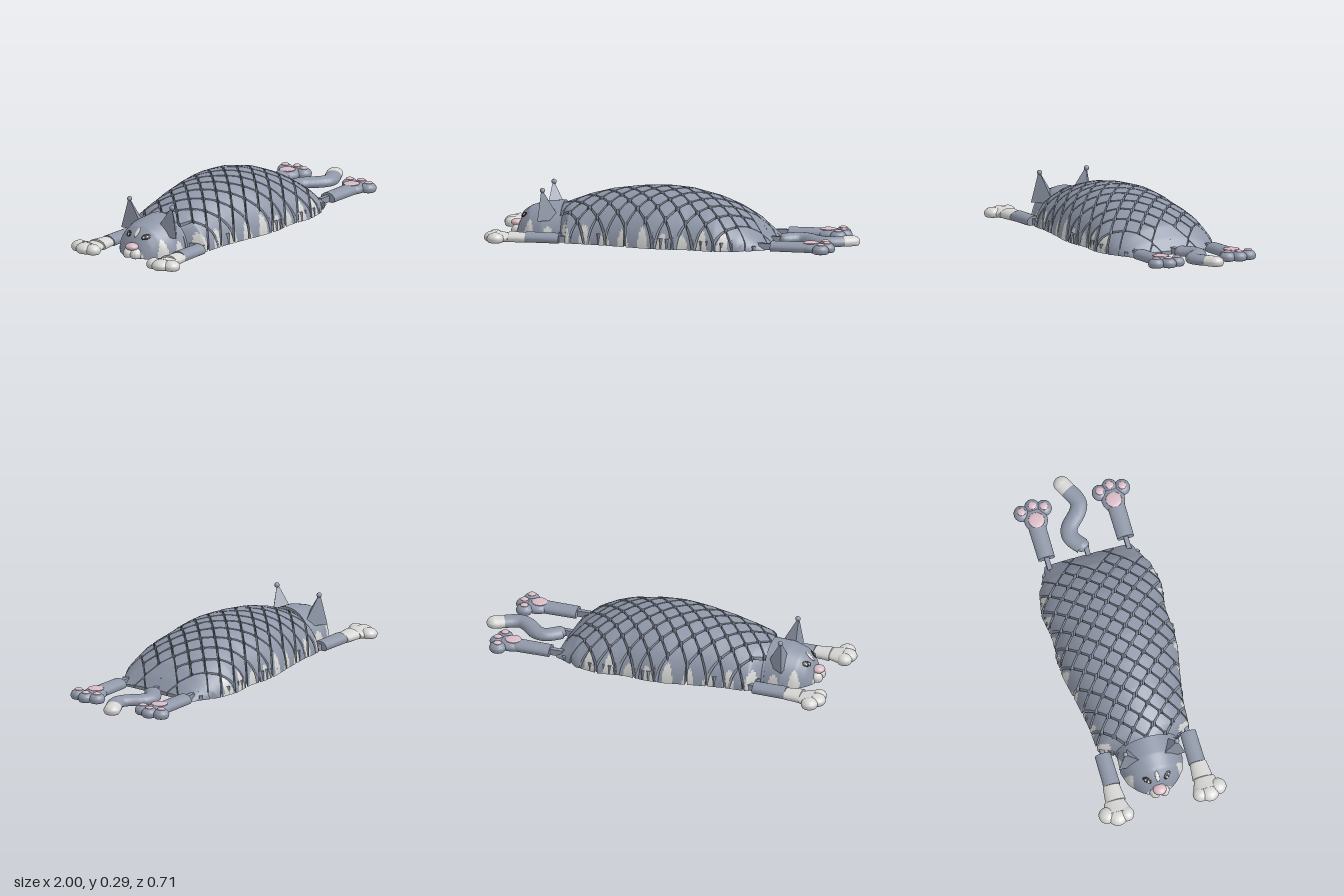
import * as THREE from 'three';
import { mergeGeometries, toCreasedNormals } from 'three/addons/utils/BufferGeometryUtils.js';

const material = (name, color) => Object.assign(new THREE.MeshStandardMaterial({ color }), { name });
const slate = material('slate fur', 0x8f97a8);
const white = material('white fur', 0xd6d6d4);
const pink = material('pink pads', 0xd8bac5);
const dark = material('dark eye', 0x2c2c30);

// Linear interpolation through [x, value] stops
function table(stops) {
  return (x) => {
    let i = 1;
    while (i < stops.length - 1 && x > stops[i][0]) i++;
    const [x0, a] = stops[i - 1], [x1, b] = stops[i];
    return a + (b - a) * THREE.MathUtils.clamp((x - x0) / (x1 - x0), 0, 1);
  };
}

const bodyShape = {
  height: table([[-0.615, 0.175], [-0.47, 0.23], [-0.35, 0.262], [-0.2, 0.283], [-0.05, 0.29], [0.08, 0.28],
    [0.22, 0.245], [0.33, 0.2], [0.43, 0.14], [0.49, 0.08], [0.535, 0.02]]),
  width: table([[-0.6, 0.17], [-0.555, 0.255], [-0.4, 0.265], [-0.25, 0.29], [-0.1, 0.32], [0, 0.325],
    [0.12, 0.315], [0.27, 0.335], [0.4, 0.31], [0.48, 0.265], [0.535, 0.24]]),
};
const headShape = {
  height: table([[-0.865, 0.03], [-0.85, 0.08], [-0.83, 0.12], [-0.79, 0.157], [-0.71, 0.182], [-0.61, 0.19]]),
  width: table([[-0.865, 0.06], [-0.85, 0.085], [-0.83, 0.11], [-0.78, 0.152], [-0.71, 0.172], [-0.61, 0.165]]),
};
const domeHeight = (s, x, z) => s.height(x) * Math.sqrt(Math.max(0, 1 - (z / s.width(x)) ** 2));

// Upper edge of the white streaks running up from the ground
const streak = (x) => (x > 0.36 ? 0 : (0.09 + 0.02 * Math.sin(40 * x))
  * Math.sqrt(Math.max(0, 0.15 + 0.85 * Math.cos((x + 0.12) * 2 * Math.PI / 0.11))));

function addTriangle(list, a, b, c) {
  const n = b.clone().sub(a).cross(c.clone().sub(a));
  if (n.length() > 1e-9) for (const p of [a, b, c]) list.push(p.x, p.y, p.z);
}
function addQuad(list, a, b, c, d) {
  addTriangle(list, a, b, c);
  addTriangle(list, a, c, d);
}

// Solid piece of a dome: z runs from lo(x) to hi(x) at each x, clipped to the outline
function addPiece(out, shape, xs, lo, hi, steps) {
  const rows = xs.map((x) => {
    const w = shape.width(x);
    const a = Math.asin(THREE.MathUtils.clamp(lo(x) / w, -1, 1));
    const b = Math.asin(THREE.MathUtils.clamp(hi(x) / w, -1, 1));
    return Array.from({ length: steps + 1 }, (_, k) => {
      const t = a + (b - a) * k / steps;
      return new THREE.Vector3(x, shape.height(x) * Math.max(0, Math.cos(t)), w * Math.sin(t));
    });
  });
  const floor = (p) => new THREE.Vector3(p.x, 0, p.z);
  const wall = (p, q) => addQuad(out.slate, floor(p), floor(q), q, p);
  const last = rows.length - 1;
  for (let i = 0; i < last; i++) {
    for (let k = 0; k < steps; k++) {
      const a = rows[i][k], b = rows[i][k + 1], c = rows[i + 1][k + 1], d = rows[i + 1][k];
      const y = (a.y + b.y + c.y + d.y) / 4;
      addQuad(y < streak((a.x + d.x) / 2) ? out.white : out.slate, a, b, c, d);
      addQuad(out.white, floor(a), floor(d), floor(c), floor(b));
    }
    wall(rows[i][steps], rows[i + 1][steps]);
    wall(rows[i + 1][0], rows[i][0]);
  }
  for (let k = 0; k < steps; k++) {
    wall(rows[last][k + 1], rows[last][k]);
    wall(rows[0][k], rows[0][k + 1]);
  }
}

function meshesFrom(out, name) {
  const group = new THREE.Group();
  group.name = name;
  for (const [key, mat] of [['slate', slate], ['white', white]]) {
    const geo = new THREE.BufferGeometry();
    geo.setAttribute('position', new THREE.Float32BufferAttribute(out[key], 3));
    const mesh = new THREE.Mesh(toCreasedNormals(geo, 0.6), mat);
    mesh.name = `${name} ${mat.name}`;
    group.add(mesh);
  }
  return group;
}

// Flattens a shape on the ground and leaves its flat underside white
function grounded(name, geometry, mat) {
  const geo = geometry.index ? geometry.toNonIndexed() : geometry;
  const p = geo.attributes.position, top = [], under = [];
  for (let i = 0; i < p.count; i += 3) {
    const t = [0, 1, 2].map((k) => new THREE.Vector3(p.getX(i + k), Math.max(0, p.getY(i + k)), p.getZ(i + k)));
    addTriangle(t.every((v) => v.y < 1e-6) ? under : top, ...t);
  }
  const flat = new THREE.BufferGeometry();
  flat.setAttribute('position', new THREE.Float32BufferAttribute([...top, ...under], 3));
  const result = toCreasedNormals(flat, 0.7);
  result.clearGroups();
  result.addGroup(0, top.length / 3, 0);
  result.addGroup(top.length / 3, under.length / 3, 1);
  const mesh = new THREE.Mesh(result, [mat, white]);
  mesh.name = name;
  return mesh;
}
const blob = (name, x, z, rx, rz, mat) =>
  grounded(name, new THREE.SphereGeometry(1, 24, 16).scale(rx, 0.033, rz).translate(x, 0.02, z), mat);
const limb = (name, x0, x1, z, r0, r1, mat) =>
  grounded(name, new THREE.CylinderGeometry(r1, r0, x1 - x0, 24, 4).rotateZ(-Math.PI / 2)
    .scale(1, 0.033 / Math.max(r0, r1), 1).translate((x0 + x1) / 2, 0.02, z), mat);
function box(name, w, h, d, x, y, z) {
  const mesh = new THREE.Mesh(new THREE.BoxGeometry(w, h, d), slate);
  mesh.position.set(x, y, z);
  mesh.name = name;
  return mesh;
}

// Three-sided ear leaning outward, s is the side
function earGeometry(s) {
  const [a, b, c, tip] = [[-0.722, 0.1, 0.03], [-0.612, 0.1, 0.105], [-0.722, 0.1, 0.185], [-0.708, 0.272, 0.145]]
    .map(([x, y, z]) => new THREE.Vector3(x, y, s * z));
  const list = [];
  for (const [p, q] of [[a, c], [c, b], [b, a]]) s > 0 ? addTriangle(list, p, q, tip) : addTriangle(list, q, p, tip);
  const geo = new THREE.BufferGeometry();
  geo.setAttribute('position', new THREE.Float32BufferAttribute(list, 3));
  geo.computeVertexNormals();
  return geo;
}

export function createModel() {
  const model = new THREE.Group();
  const range = (a, b, n) => Array.from({ length: n + 1 }, (_, i) => a + (b - a) * i / n);

  // Body of linked diamond cells with open corners, and low links in the grooves
  const cells = { slate: [], white: [] }, links = [];
  const r = 0.055, cut = 0.043, x0 = -0.615, x1 = 0.535;
  for (let i = -11; i <= 10; i++) {
    for (let j = -6; j <= 6; j++) {
      const cx = i * r, cz = j * r, w = bodyShape.width(cx);
      if ((i + j) % 2 || Math.abs(cz) > w + 0.02) continue;
      const solid = i >= 8 && Math.abs(j) !== 2;
      const rim = Math.abs(cz) + r > w - 0.01, open = Math.abs(cz) + r > w + 0.02;
      const gap = solid ? 0 : 0.006, reach = solid || rim ? r - gap : cut;
      const a = Math.max(x0, cx - reach), b = Math.min(x1, cx + reach);
      if (b - a < 0.004) continue;
      const half = (x) => Math.min(r - gap - Math.abs(x - cx), reach);
      // Outermost cells run straight out to the edge of the dome
      addPiece(cells, bodyShape, range(a, b, 12),
        (x) => (open && j < 0 ? -1 : cz - half(x)), (x) => (open && j > 0 ? 1 : cz + half(x)), 12);
      for (const s of [-1, 1]) {
        const lx = cx + r / 2, lz = cz + s * r / 2;
        if (lx > 0.5 || Math.abs(lz) > bodyShape.width(lx) - 0.02) continue;
        const h = 0.55 * domeHeight(bodyShape, lx, lz);
        links.push(new THREE.BoxGeometry(0.02, h, 0.052).rotateY(s * Math.PI / 4 + (s > 0 ? 0 : Math.PI))
          .translate(lx, h / 2 + 0.002, lz));
      }
    }
  }
  model.add(meshesFrom(cells, 'body cells'));
  const linkMesh = new THREE.Mesh(mergeGeometries(links), slate);
  linkMesh.name = 'body links';
  model.add(linkMesh);

  // Head
  const head = { slate: [], white: [] };
  addPiece(head, headShape, range(-0.865, -0.61, 40), () => -1, () => 1, 48);
  model.add(meshesFrom(head, 'head'));
  model.add(box('neck link', 0.06, 0.15, 0.1, -0.61, 0.077, 0));

  // Flat lens lying on the head, turned by an angle
  const lens = (name, x, z, rx, ry, turn, lift, mat) => {
    const e = 0.004, h = (u, v) => domeHeight(headShape, u, v);
    const n = new THREE.Vector3(h(x - e, z) - h(x + e, z), 2 * e, h(x, z - e) - h(x, z + e)).normalize();
    const mesh = new THREE.Mesh(new THREE.SphereGeometry(1, 20, 10).scale(rx, ry, 0.0045).rotateZ(turn), mat);
    mesh.position.set(x, h(x, z), z).addScaledVector(n, lift);
    mesh.lookAt(mesh.position.clone().add(n));
    mesh.name = name;
    model.add(mesh);
  };
  lens('blaze', -0.822, 0, 0.011, 0.032, 0, 0.001, white);
  for (const s of [-1, 1]) {
    lens('eye rim', -0.822, s * 0.056, 0.027, 0.016, s * 0.35, 0.001, dark);
    lens('eye', -0.824, s * 0.056, 0.017, 0.008, s * 0.35, 0.004, white);
    lens('pupil', -0.824, s * 0.056, 0.007, 0.008, 0, 0.006, dark);
    const ear = new THREE.Mesh(earGeometry(s), slate);
    ear.name = 'ear';
    const tip = new THREE.Mesh(new THREE.SphereGeometry(0.014, 16, 12), slate);
    tip.position.set(-0.703, 0.262, s * 0.143);
    tip.name = 'ear tip';
    model.add(ear, tip, blob('muzzle', -0.865, s * 0.024, 0.036, 0.03, white));
  }
  const nose = new THREE.Mesh(new THREE.SphereGeometry(1, 20, 12).scale(0.034, 0.02, 0.037), pink);
  nose.position.set(-0.872, 0.061, 0);
  nose.name = 'nose';
  model.add(nose);

  for (const s of [-1, 1]) {
    // Front leg with flared white paw
    model.add(box('front joint', 0.08, 0.035, 0.025, -0.565, 0.02, s * 0.235));
    model.add(limb('front leg', -0.77, -0.588, s * 0.237, 0.046, 0.044, slate));
    model.add(limb('front ankle', -0.86, -0.77, s * 0.242, 0.056, 0.046, white));
    model.add(limb('front paw', -0.93, -0.86, s * 0.25, 0.08, 0.056, white));
    for (const [x, z, q] of [[-0.925, 0.308, 0.046], [-0.945, 0.255, 0.053], [-0.945, 0.205, 0.041]])
      model.add(blob('front toe', x, s * z, q, q, white));

    // Rear leg with pink pads
    model.add(box('rear joint', 0.1, 0.035, 0.025, 0.55, 0.02, s * 0.22));
    model.add(limb('rear leg', 0.57, 0.79, s * 0.22, 0.046, 0.048, slate));
    model.add(blob('rear paw', 0.8, s * 0.215, 0.075, 0.064, slate));
    const pads = [[0.785, 0.215, 0.044]];
    for (const [x, z] of [[0.852, 0.28], [0.872, 0.215], [0.852, 0.155]]) {
      model.add(blob('rear toe', x, s * z, 0.045, 0.042, slate));
      pads.push([x, z, 0.022]);
    }
    for (const [x, z, q] of pads) {
      const pad = new THREE.Mesh(new THREE.SphereGeometry(1, 20, 10).scale(q, 0.008, q), pink);
      pad.position.set(x, 0.05, s * z);
      pad.name = 'paw pad';
      model.add(pad);
    }
  }

  // Bent tail with white tip
  const bend = (pts) => new THREE.CatmullRomCurve3(pts.map(([x, z]) => new THREE.Vector3(x, 0, z)), false, 'centripetal');
  const tailPart = (name, pts, mat) => model.add(grounded(name,
    new THREE.TubeGeometry(bend(pts), 48, 0.045, 20).scale(1, 0.72, 1).translate(0, 0.02, 0), mat));
  tailPart('tail', [[0.585, -0.015], [0.635, -0.054], [0.665, -0.065], [0.705, -0.056], [0.78, 0.01], [0.82, 0.03],
    [0.86, 0.024], [0.912, -0.003]], slate);
  tailPart('tail tip', [[0.912, -0.003], [0.956, -0.026]], white);
  model.add(blob('tail end', 0.956, -0.026, 0.044, 0.045, white));
  model.add(blob('tail root', 0.592, -0.018, 0.035, 0.04, slate));
  model.add(box('tail joint', 0.09, 0.035, 0.025, 0.545, 0.02, 0));
  return model;
}
